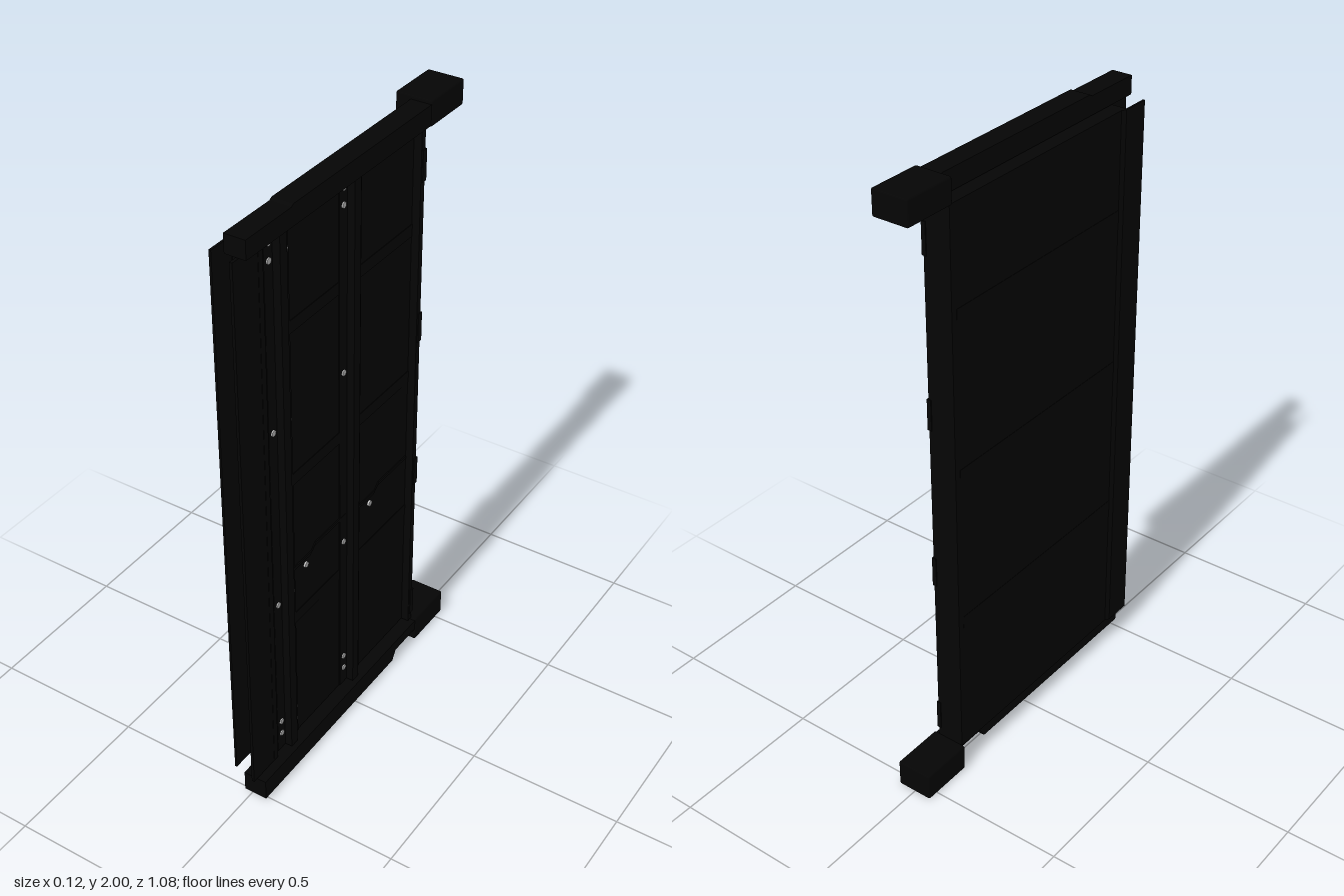
import * as THREE from 'three';
import { RoundedBoxGeometry } from 'three/addons/geometries/RoundedBoxGeometry.js';

export function createModel() {
  const root = new THREE.Group();
  const black = new THREE.MeshStandardMaterial({ color: 0x050505 });
  const steel = new THREE.MeshStandardMaterial({ color: 0xcccccc });

  const add = (name, geometry, material = black) => {
    const mesh = new THREE.Mesh(geometry, material);
    mesh.name = name;
    root.add(mesh);
    return mesh;
  };
  // Box given by its limits on each axis
  const box = (name, x0, x1, y0, y1, z0, z1) => {
    const m = add(name, new THREE.BoxGeometry(x1 - x0, y1 - y0, z1 - z0));
    m.position.set((x0 + x1) / 2, (y0 + y1) / 2, (z0 + z1) / 2);
    return m;
  };
  // Outline in (z, y) extruded along x
  const sidePlate = (name, points, x0, x1) => {
    const shape = new THREE.Shape(points.map(([z, y]) => new THREE.Vector2(-z, y)));
    const g = new THREE.ExtrudeGeometry(shape, { depth: x1 - x0, bevelEnabled: false });
    g.rotateY(Math.PI / 2);
    g.translate(x0, 0, 0);
    return add(name, g);
  };
  // Outline in (x, z) extruded upwards
  const upright = (name, points, y0, y1) => {
    const shape = new THREE.Shape(points.map(([x, z]) => new THREE.Vector2(x, -z)));
    const g = new THREE.ExtrudeGeometry(shape, { depth: y1 - y0, bevelEnabled: false });
    g.rotateX(-Math.PI / 2);
    g.translate(0, y0, 0);
    return add(name, g);
  };

  // Door leaf: core with recessed inner face, and a full-depth back edge
  const low = 0.088, high = 1.919, face = 0.014;
  box('panelCore', -0.05, face, low, high, -0.362, 0.43);
  box('backEdge', -0.05, 0.04, low, high, -0.365, -0.345);

  // Front edge: thin outer lip with a bent root, and inner flange
  upright('outerLip', [
    [-0.05, 0.41], [-0.059, 0.422], [-0.059, 0.515], [-0.052, 0.515], [-0.052, 0.43], [-0.045, 0.42],
  ], low, high);
  box('innerFlange', 0.02, 0.029, low, high, 0.41, 0.537);
  box('flangeRoot', face, 0.03, low, high, 0.41, 0.43);

  // Tall vertical ribs between the bolt columns
  for (const z of [0.335, -0.015]) {
    box('ribFoot', face, face + 0.003, low, high, z - 0.055, z + 0.055);
    box('rib', face, 0.041, low, high, z - 0.016, z + 0.016);
  }

  // Shallow horizontal bands on both faces
  for (const y of [0.56, 1.08, 1.59]) {
    box('innerBand', face, face + 0.002, y - 0.02, y + 0.02, -0.345, 0.41);
    box('outerBand', -0.051, -0.05, y - 0.02, y + 0.02, -0.345, 0.41);
  }

  // Cover strips with a stepped top edge
  for (const z of [0.32, -0.03]) {
    sidePlate('coverStrip', [
      [z, 0.75], [z - 0.12, 0.75], [z - 0.14, 0.77], [z - 0.31, 0.77],
      [z - 0.31, 0.78], [z - 0.15, 0.78], [z - 0.13, 0.76], [z, 0.76],
    ], face, face + 0.004);
  }

  // Hinge leaves along the back edge
  for (const y of [0.17, 0.72, 1.26, 1.8]) {
    box('hingeLeaf', 0.03, 0.044, y - 0.05, y + 0.05, -0.368, -0.348);
  }

  // Top and bottom rails, with end blocks at the back
  sidePlate('topRail', [
    [0.517, 1.924], [0.517, 1.982], [0.32, 1.982], [0.31, 1.988], [-0.37, 1.988], [-0.37, 1.924],
  ], -0.01, 0.057);
  sidePlate('bottomRail', [
    [0.517, 0.083], [0.517, 0.012], [-0.22, 0.012], [-0.24, 0.045], [-0.37, 0.045], [-0.37, 0.083],
  ], -0.022, 0.057);
  for (const [y, height] of [[0.045, 0.09], [1.96, 0.08]]) {
    const block = add('endBlock', new RoundedBoxGeometry(0.119, height, 0.176, 2, 0.006));
    block.position.set(0, y, -0.45);
  }

  // Pins joining the leaf to both rails
  for (const z of [0.38, -0.355]) {
    box('topPin', 0, 0.012, 1.91, 1.93, z - 0.008, z + 0.008);
    box('bottomPin', 0, 0.012, 0.075, 0.095, z - 0.008, z + 0.008);
  }

  // Bolt heads
  const boltShape = new THREE.CylinderGeometry(0.0095, 0.0095, 0.006, 16);
  boltShape.rotateZ(-Math.PI / 2);
  const bolt = (y, z) => add('bolt', boltShape, steel).position.set(face + 0.004, y, z);
  for (const z of [0.37, 0.297, 0.02, -0.053]) {
    for (const y of [0.152, 0.202, 0.678, 1.3, 1.84, 1.893]) bolt(y, z);
  }
  for (const z of [0.223, -0.127]) bolt(0.73, z);

  return root;
}
